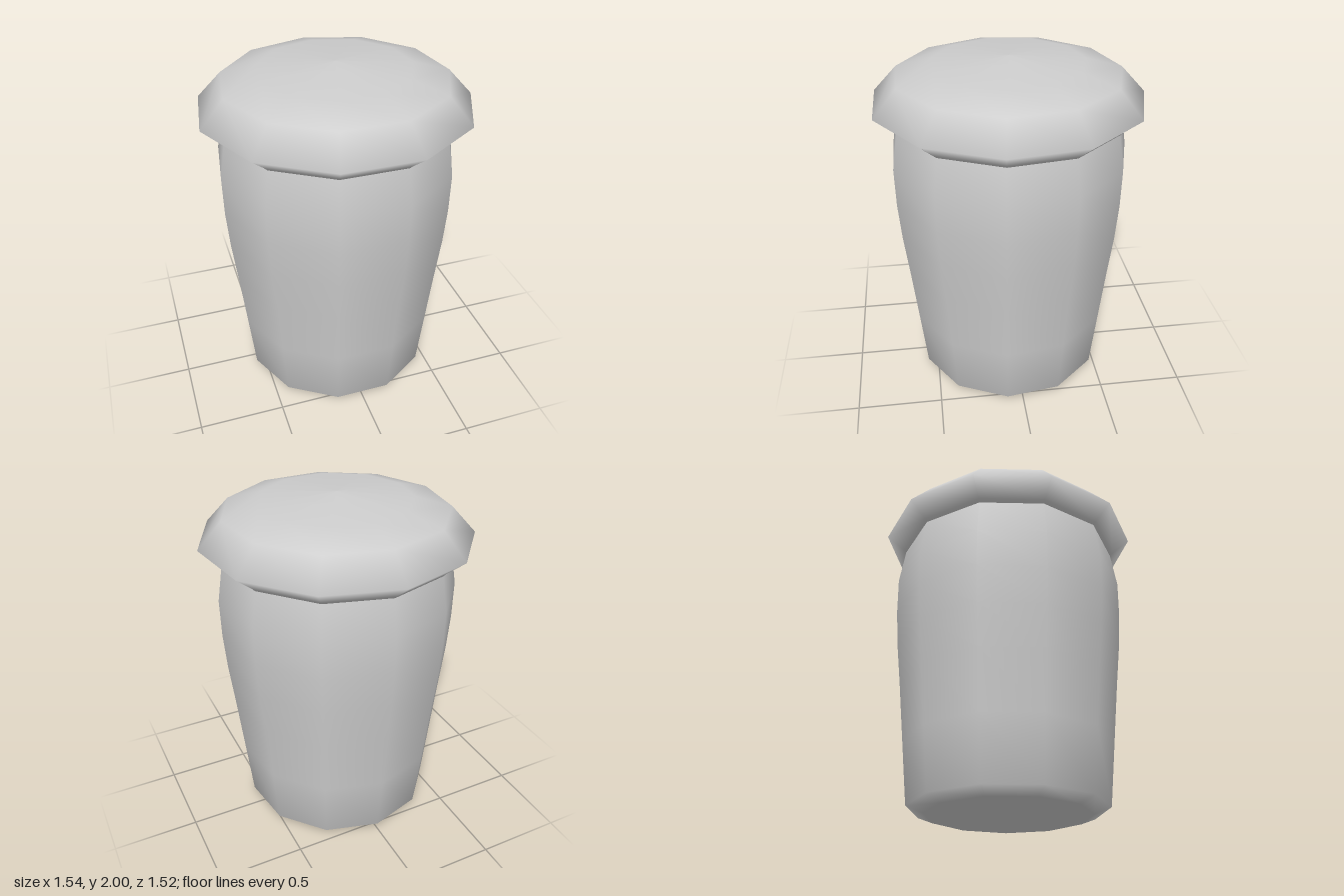
import * as THREE from 'three';

const SIDES = 11;

// Smooth-shaded eleven-sided solid of revolution with a corner at the back
function turned(name, profile, material) {
  const points = profile.map(([r, y]) => new THREE.Vector2(r, y));
  const mesh = new THREE.Mesh(new THREE.LatheGeometry(points, SIDES, Math.PI), material);
  mesh.name = name;
  mesh.position.z = 0.016; // an odd-sided outline sits off its own centre
  return mesh;
}

export function createModel() {
  const model = new THREE.Group();
  model.name = 'liddedJar';
  const clay = new THREE.MeshStandardMaterial({ color: 0xcccccc });
  clay.name = 'light grey';

  // Tapered body with bevelled foot and a shoulder curving in under the lid
  model.add(turned('jarBody', [
    [0, 0], [0.475, 0.003], [0.57, 0.04], [0.607, 0.4], [0.643, 0.75],
    [0.671, 1.0], [0.687, 1.22], [0.69, 1.44], [0.655, 1.66], [0.62, 1.75], [0, 1.76],
  ], clay));

  // Overhanging lid with a sharp rim and a shallow domed top
  model.add(turned('lid', [
    [0.6, 1.66], [0.65, 1.645], [0.672, 1.668], [0.778, 1.755],
    [0.64, 1.905], [0.43, 1.965], [0, 2],
  ], clay));

  return model;
}
